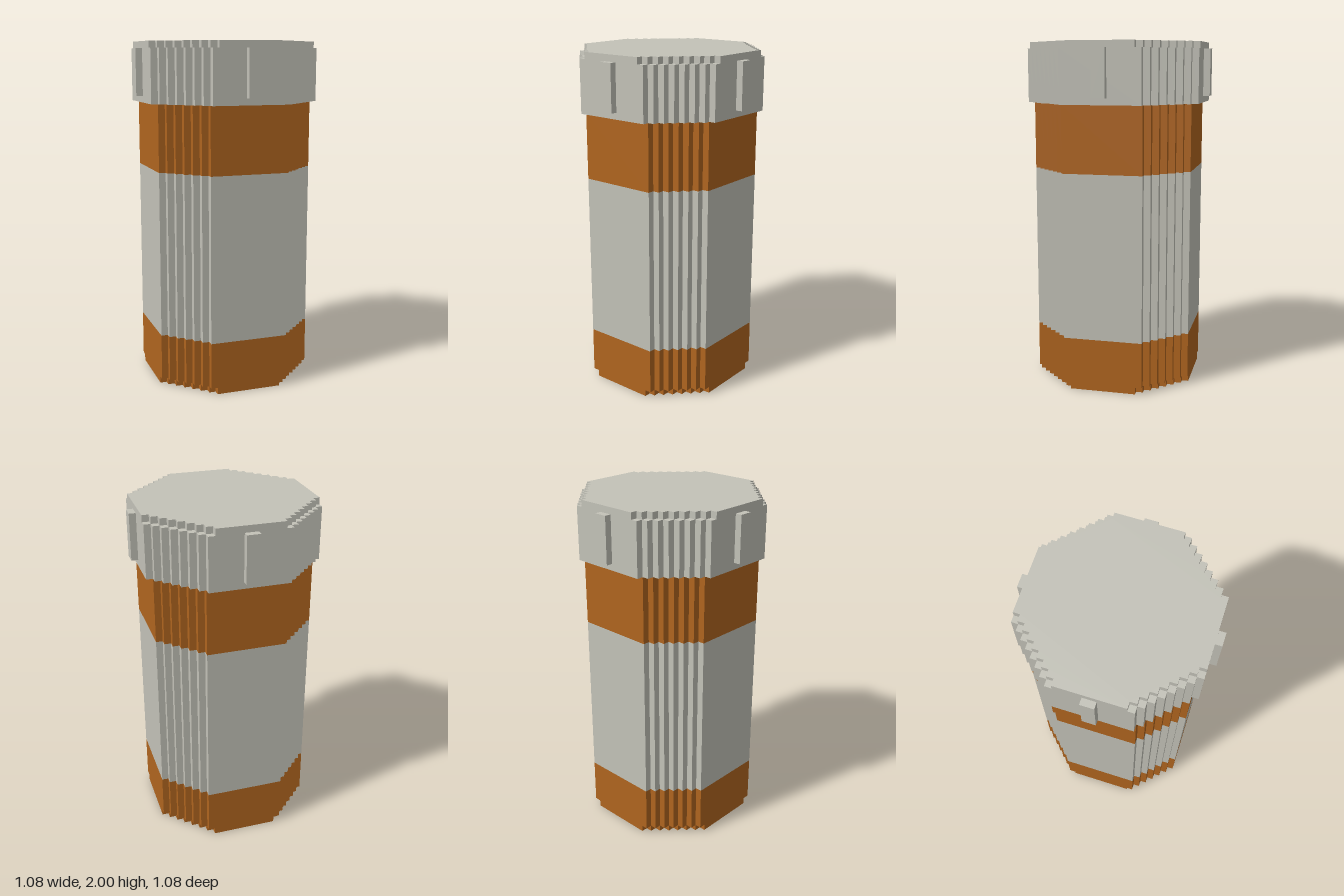
import * as THREE from 'three';

const U = 2 / 52; // one block of the stepped grid

const stone = new THREE.MeshStandardMaterial({ color: 0xc3c2b8 });
stone.name = 'paleGrey';
const rust = new THREE.MeshStandardMaterial({ color: 0xb0651f });
rust.name = 'burntOrange';

// Octagon whose diagonal sides are one-block stairs; flat = half length of its straight sides
function steppedOctagon(half, flat) {
  const corner = [];
  for (let x = half, z = flat; z <= half; x--, z++) {
    corner.push([x, z]);
    if (z < half) corner.push([x - 1, z]);
  }
  const shape = new THREE.Shape();
  for (let q = 0; q < 4; q++) {
    corner.forEach(([x, z], i) => {
      // quarter turns of the same corner
      const [px, pz] = [[x, z], [-z, x], [-x, -z], [z, -x]][q];
      if (q === 0 && i === 0) shape.moveTo(px * U, pz * U);
      else shape.lineTo(px * U, pz * U);
    });
  }
  shape.closePath();
  return shape;
}

export function createModel() {
  const model = new THREE.Group();
  model.name = 'canister';

  const addLayer = (name, material, half, flat, bottom, top) => {
    const geometry = new THREE.ExtrudeGeometry(steppedOctagon(half, flat), {
      depth: (top - bottom) * U,
      bevelEnabled: false,
    });
    geometry.rotateX(-Math.PI / 2);
    const mesh = new THREE.Mesh(geometry, material);
    mesh.position.y = bottom * U;
    mesh.name = name;
    model.add(mesh);
  };

  // Body, from the chamfered foot up
  addLayer('footChamfer', rust, 12, 5, 0, 1);
  addLayer('lowerBand', rust, 12, 6, 1, 8);
  addLayer('middleBody', stone, 12, 6, 8, 33);
  addLayer('upperBand', rust, 12, 6, 33, 43);

  // Wider cap with a chamfered top layer
  addLayer('cap', stone, 13, 6, 43, 51);
  addLayer('capTop', stone, 13, 5, 51, 52);

  // Grip ribs on the four straight sides of the cap
  const ribGeometry = new THREE.BoxGeometry(2 * U, 7 * U, U);
  ['front', 'left', 'back', 'right'].forEach((side, i) => {
    const a = (i * Math.PI) / 2;
    const rib = new THREE.Mesh(ribGeometry, stone);
    rib.position.set(Math.sin(a) * 13.5 * U, 47.5 * U, Math.cos(a) * 13.5 * U);
    rib.rotation.y = a;
    rib.name = side + 'CapRib';
    model.add(rib);
  });

  return model;
}
